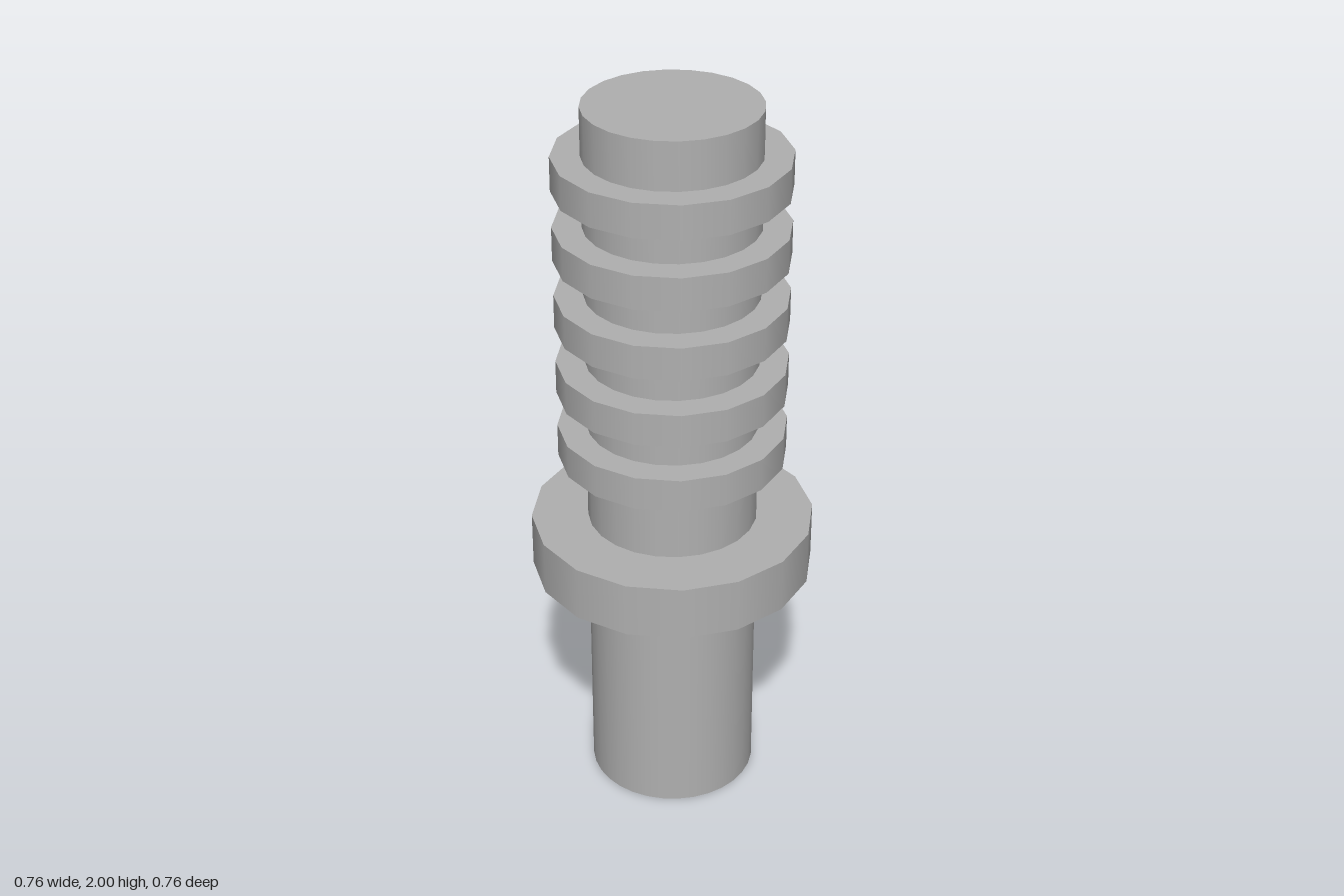
import * as THREE from 'three';

export function createModel() {
  const model = new THREE.Group();
  const metal = new THREE.MeshStandardMaterial({ color: 0xb0b0b0 });
  metal.name = 'greyMetal';

  // Upright cylinder between two heights
  const addCylinder = (name, radius, bottom, top, sides) => {
    const height = top - bottom;
    const mesh = new THREE.Mesh(new THREE.CylinderGeometry(radius, radius, height, sides), metal);
    mesh.name = name;
    mesh.position.y = bottom + height / 2;
    model.add(mesh);
  };

  // Plain lower shaft, wide collar and ribbed upper shaft
  addCylinder('lowerShaft', 0.229, 0, 0.748, 32);
  addCylinder('collar', 0.382, 0.672, 0.824, 16);
  addCylinder('upperShaft', 0.229, 0.748, 2, 24);

  // Evenly spaced ribs
  for (let i = 0; i < 5; i++) {
    const centre = 1.061 + i * 0.191;
    addCylinder(`rib${i + 1}`, 0.305, centre - 0.046, centre + 0.046, 16);
  }
  return model;
}
